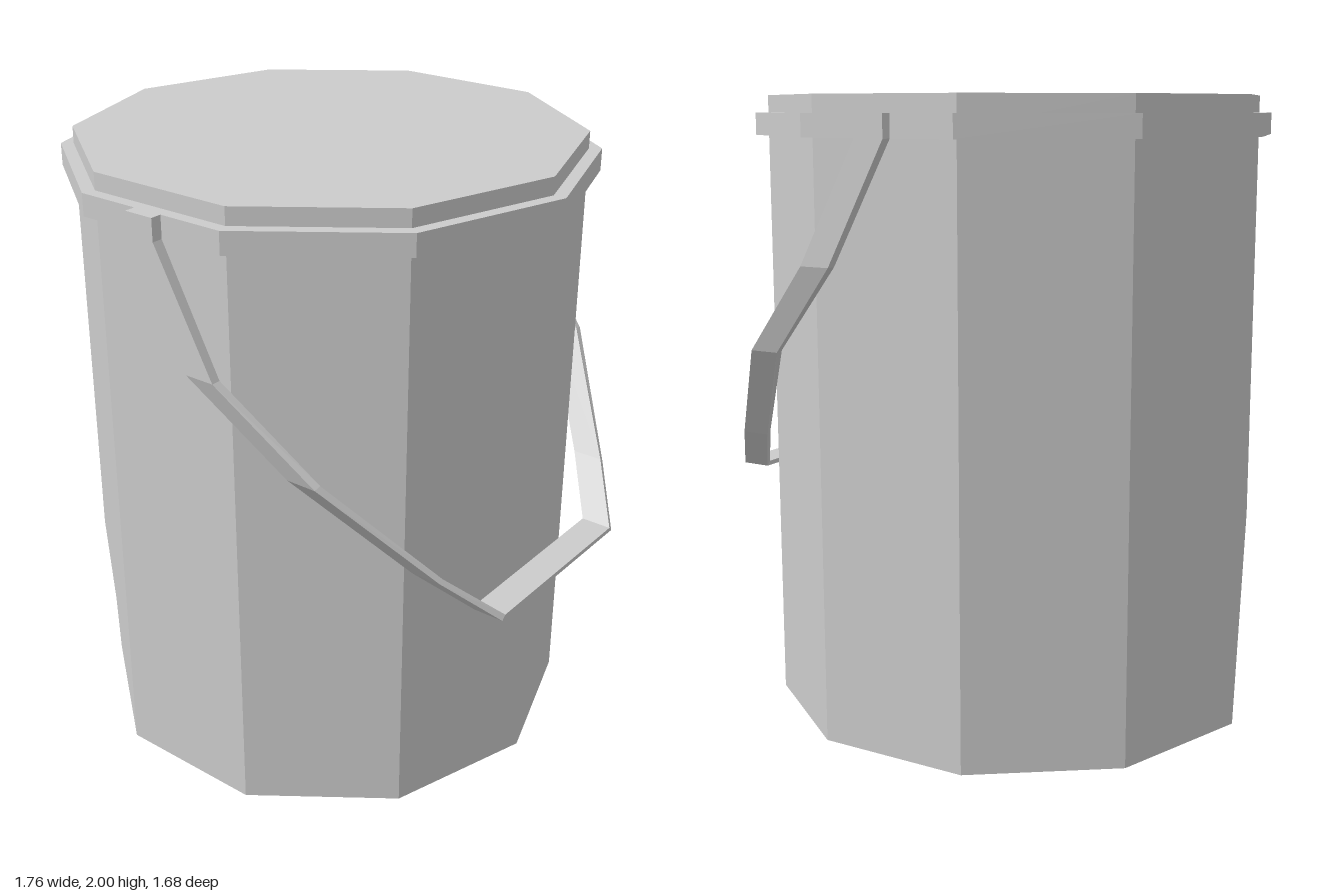
import * as THREE from 'three';

const CX = -0.0375, R = 0.805, SIDES = 10;

function material(side = THREE.FrontSide) {
  return new THREE.MeshStandardMaterial({ color: 0xcccccc, flatShading: true, side });
}

// Flat-shaded mesh from polygons, each fanned from its first corner
function polyMesh(name, polys, side) {
  const pos = [];
  for (const p of polys)
    for (let i = 1; i < p.length - 1; i++) pos.push(...p[0], ...p[i], ...p[i + 1]);
  const geo = new THREE.BufferGeometry();
  geo.setAttribute('position', new THREE.Float32BufferAttribute(pos, 3));
  geo.computeVertexNormals();
  const mesh = new THREE.Mesh(geo, material(side));
  mesh.name = name;
  return mesh;
}

// Corner i of the ten-sided wall at height y
function corner(i, y) {
  const a = (i % SIDES) * Math.PI * 2 / SIDES;
  return [CX + R * Math.cos(a), y, R * Math.sin(a)];
}

function disc(name, radius, y0, y1) {
  const geo = new THREE.CylinderGeometry(radius, radius, y1 - y0, SIDES);
  geo.rotateY(Math.PI / 2);
  const mesh = new THREE.Mesh(geo, material());
  mesh.name = name;
  mesh.position.set(CX, (y0 + y1) / 2, 0);
  return mesh;
}

function addBody(group) {
  const top = 1.91;
  // Broken lower corner: outline on the wall, then points inside the dent
  const onWall = (x, y) => {
    const a = corner(4, 0), b = corner(3, 0);
    return [x, y, a[2] + (x - a[0]) / (b[0] - a[0]) * (b[2] - a[2])];
  };
  const T = corner(4, 0.57), P = onWall(-0.54, 0.36), Q = onWall(-0.5, 0.19);
  const V1 = corner(5, 0), V2 = corner(3, 0);
  const A = [-0.67, 0, -0.03], B = [-0.56, 0, 0.38], C = [-0.29, 0, 0.56];
  const D = [-0.57, 0.48, 0.37], E = [-0.38, 0.22, 0.5];

  const polys = [];
  for (let i = 0; i < SIDES; i++) {
    if (i === 3) polys.push([corner(3, top), corner(4, top), T, P, Q, V2]);
    else if (i === 4) polys.push([V1, T, corner(4, top), corner(5, top)]);
    else polys.push([corner(i + 1, 0), corner(i, 0), corner(i, top), corner(i + 1, top)]);
  }
  // Base, stepping inward around the dent
  const base = [];
  for (let i = 0; i < SIDES; i++) base.push(...(i === 4 ? [C, B, A] : [corner(i, 0)]));
  base.forEach((p, i) => polys.push([[CX, 0, 0], p, base[(i + 1) % base.length]]));
  group.add(polyMesh('body', polys));

  group.add(polyMesh('dent', [
    [V1, A, D, T], [A, B, D], [B, E, D], [B, C, E],
    [C, V2, E], [V2, Q, E], [Q, P, E], [P, D, E], [P, T, D],
  ], THREE.DoubleSide));
}

// Thin angular strap hanging forward from both sides of the rim
function makeHandle() {
  const w = 0.1;
  // x, outer y, outer z, inner y, inner z
  const half = [
    [-0.09, 1.945, 0.84, 1.945, 0.79],
    [-0.09, 1.875, 0.84, 1.875, 0.805],
    [0.11, 1.505, 0.84, 1.505, 0.81],
    [0.39, 1.22, 0.74, 1.225, 0.715],
    [0.65, 0.885, 0.485, 0.895, 0.47],
    [0.78, 0.73, 0.335, 0.745, 0.32],
  ];
  const mirrored = half.map(([x, yo, zo, yi, zi]) => [x, yo, -zo, yi, -zi]).reverse();
  const rings = [...half, ...mirrored].map(([x, yo, zo, yi, zi]) =>
    [[x, yo, zo], [x + w, yo, zo], [x + w, yi, zi], [x, yi, zi]]);
  const polys = [rings[0], [...rings[rings.length - 1]].reverse()];
  for (let s = 0; s < rings.length - 1; s++)
    for (let k = 0; k < 4; k++) {
      const n = (k + 1) % 4;
      polys.push([rings[s][k], rings[s + 1][k], rings[s + 1][n], rings[s][n]]);
    }
  return polyMesh('handle', polys);
}

export function createModel() {
  const group = new THREE.Group();
  group.name = 'bucket';
  addBody(group);
  group.add(disc('rim', 0.846, 1.875, 1.945));
  group.add(disc('lid', R, 1.9, 2));
  group.add(makeHandle());
  return group;
}
